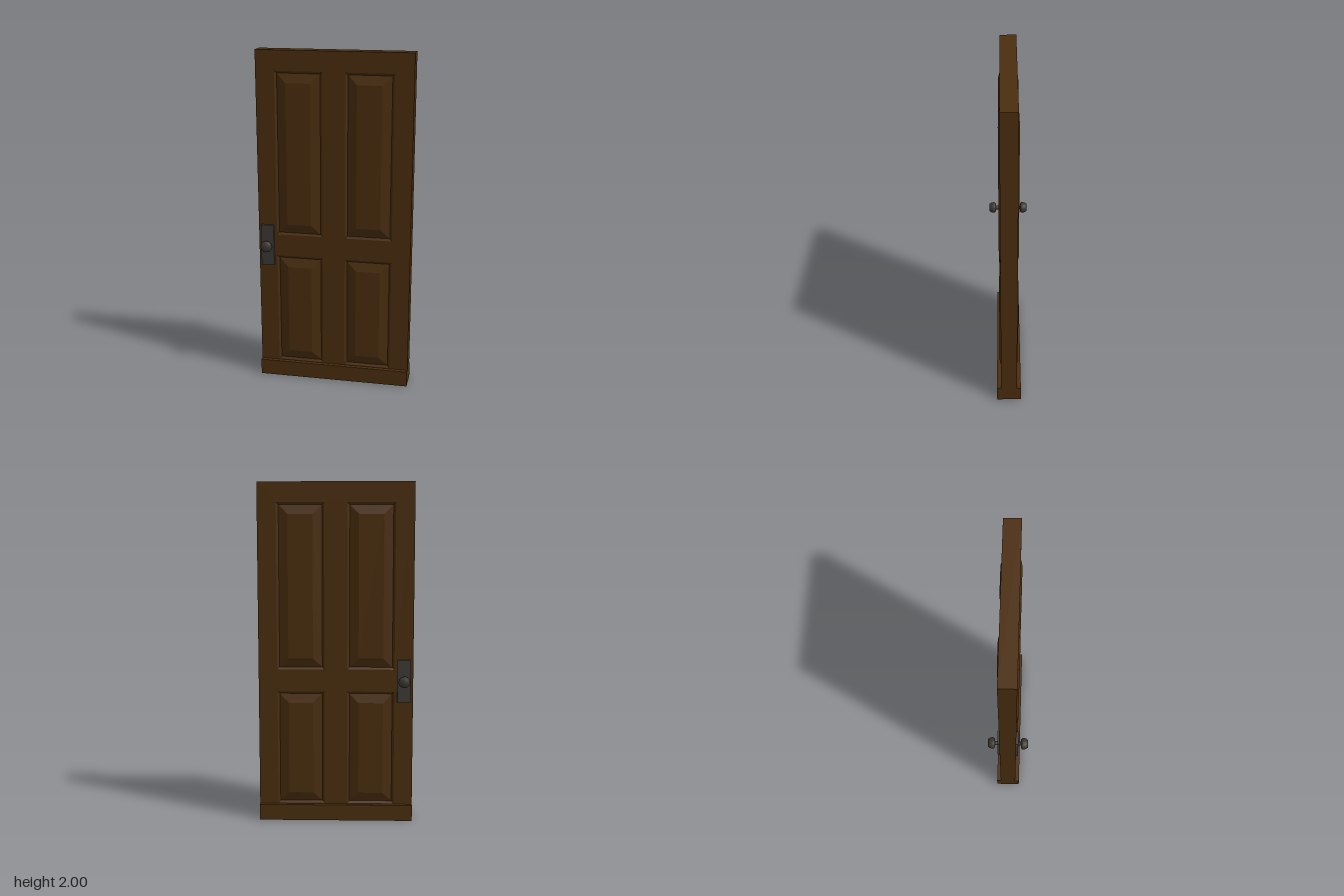
import * as THREE from 'three';

const W = 0.455, FACE = 0.048;
// sunken panels: [x0, x1, y0, y1]
const PANELS = [];
for (const [y0, y1] of [[0.1, 0.78], [0.912, 1.883]]) {
  PANELS.push([-0.345, -0.067, y0, y1], [0.067, 0.345, y0, y1]);
}

function mesh(name, geometry, material, x = 0, y = 0, z = 0) {
  const m = new THREE.Mesh(geometry, material);
  m.name = name;
  m.position.set(x, y, z);
  return m;
}

function rectangle(target, [x0, x1, y0, y1]) {
  target.moveTo(x0, y0);
  target.lineTo(x1, y0);
  target.lineTo(x1, y1);
  target.lineTo(x0, y1);
  target.closePath();
  return target;
}

// Moulded panel: chamfer down into a groove, then bevel up to a raised field
function panelGeometry([x0, x1, y0, y1]) {
  const loops = [[0, FACE], [0.013, 0.0395], [0.067, 0.057]].map(([d, z]) => [
    [x0 + d, y0 + d, z], [x1 - d, y0 + d, z], [x1 - d, y1 - d, z], [x0 + d, y1 - d, z],
  ]);
  const pos = [];
  const quad = (a, b, c, d) => pos.push(...a, ...b, ...c, ...a, ...c, ...d);
  for (let i = 0; i < 2; i++) {
    for (let k = 0; k < 4; k++) {
      const n = (k + 1) % 4;
      quad(loops[i][k], loops[i][n], loops[i + 1][n], loops[i + 1][k]);
    }
  }
  quad(...loops[2]);
  const g = new THREE.BufferGeometry();
  g.setAttribute('position', new THREE.Float32BufferAttribute(pos, 3));
  g.computeVertexNormals();
  return g;
}

export function createModel() {
  const wood = new THREE.MeshStandardMaterial({ color: 0x4b2e0f });
  wood.name = 'dark wood';
  const plateMetal = new THREE.MeshStandardMaterial({ color: 0x3e3a37 });
  plateMetal.name = 'plate metal';
  const knobMetal = new THREE.MeshStandardMaterial({ color: 0x3d3731 });
  knobMetal.name = 'knob metal';

  const door = new THREE.Group();
  door.name = 'door';

  // Stiles and rails with openings for the panels
  const outline = rectangle(new THREE.Shape(), [-W, W, 0, 2]);
  for (const p of PANELS) outline.holes.push(rectangle(new THREE.Path(), p));
  const frame = new THREE.ExtrudeGeometry(outline, { depth: FACE * 2, bevelEnabled: false });
  door.add(mesh('frame', frame, wood, 0, 0, -FACE));

  // Kick board along the bottom
  door.add(mesh('kickBoard', new THREE.BoxGeometry(W * 2, 0.095, 0.145), wood, 0, 0.0475, 0));

  // Knob turned about its own axis, pointing outwards
  const knobProfile = [
    [0.012, 0.05], [0.012, 0.077], [0.026, 0.077], [0.033, 0.085],
    [0.0345, 0.093], [0.031, 0.106], [0.023, 0.118], [0, 0.118],
  ].map(([r, h]) => new THREE.Vector2(r, h));
  const knob = new THREE.LatheGeometry(knobProfile, 16).rotateX(Math.PI / 2);

  // Panels and handle on both faces
  for (const side of [1, -1]) {
    const face = new THREE.Group();
    face.name = side > 0 ? 'frontFace' : 'backFace';
    for (const p of PANELS) face.add(mesh('panel', panelGeometry(p), wood));
    const x = -0.401 * side;
    face.add(mesh('handlePlate', new THREE.BoxGeometry(0.078, 0.25, 0.024), plateMetal, x, 0.845, 0.049));
    face.add(mesh('knob', knob, knobMetal, x, 0.845, 0));
    if (side < 0) face.rotation.y = Math.PI;
    door.add(face);
  }
  return door;
}
